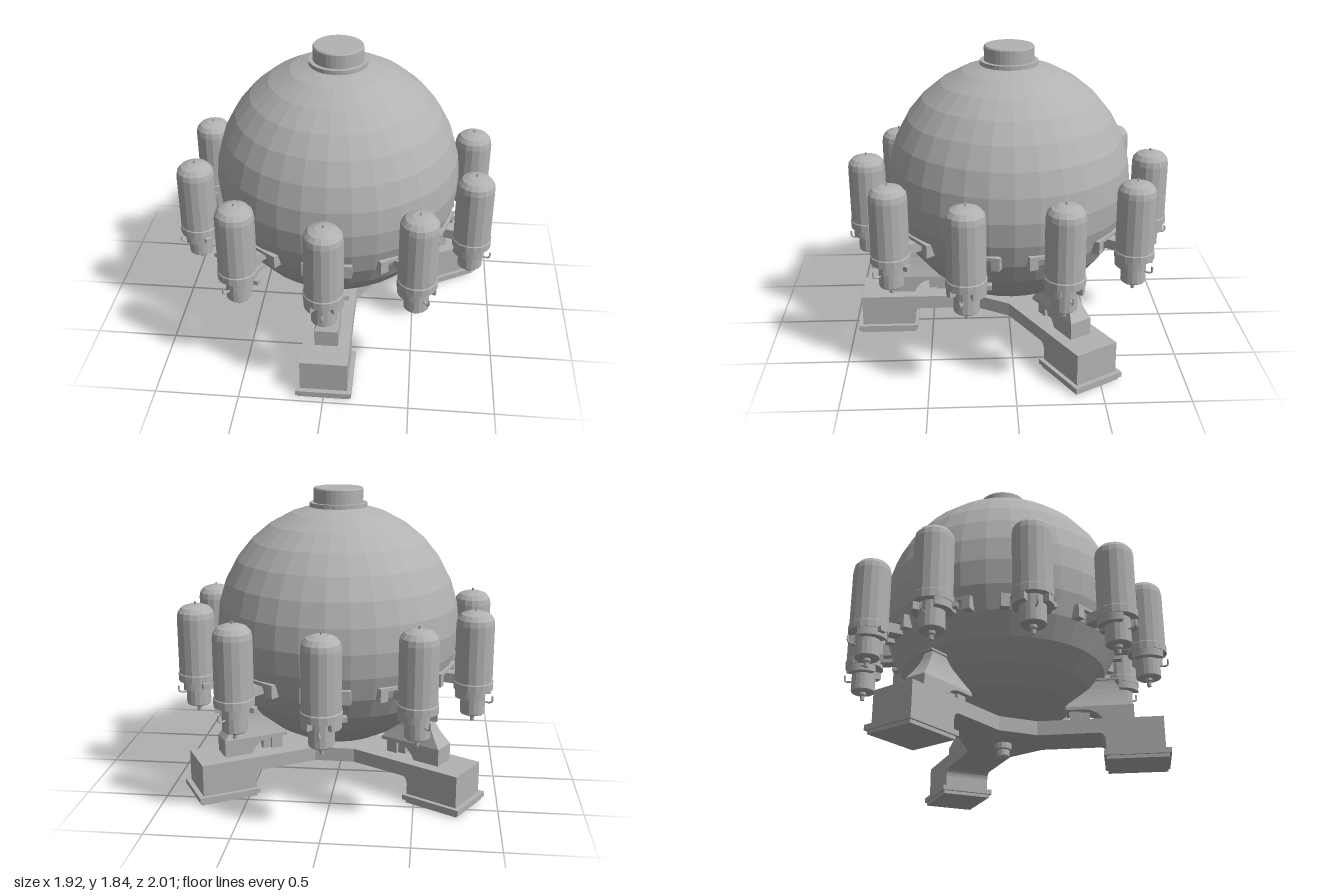
import * as THREE from 'three';

const steel = new THREE.MeshStandardMaterial({ color: 0xb2b2b2 });
steel.name = 'grey steel';

// Faceted mesh: every face gets its own normal
function add(parent, name, geometry) {
  const g = geometry.index ? geometry.toNonIndexed() : geometry;
  g.computeVertexNormals();
  const mesh = new THREE.Mesh(g, steel);
  mesh.name = name;
  parent.add(mesh);
  return mesh;
}

function box(parent, name, w, y0, y1, z0, z1, x = 0) {
  const g = new THREE.BoxGeometry(w, y1 - y0, z1 - z0);
  return add(parent, name, g.translate(x, (y0 + y1) / 2, (z0 + z1) / 2));
}

function lathe(parent, name, points, sides) {
  return add(parent, name, new THREE.LatheGeometry(points.map(p => new THREE.Vector2(...p)), sides));
}

// Side profile in (z, y), extruded across x
function slab(parent, name, shape, width) {
  const g = new THREE.ExtrudeGeometry(shape, { depth: width, bevelEnabled: false, curveSegments: 6 });
  return add(parent, name, g.translate(0, 0, -width / 2).rotateY(-Math.PI / 2));
}

// Rectangular cross-sections [y, inner z, outer z, half width] joined upwards
function loft(parent, name, sections) {
  const pos = [], index = [], last = (sections.length - 1) * 4;
  for (const [y, z0, z1, h] of sections) pos.push(h, y, z1, h, y, z0, -h, y, z0, -h, y, z1);
  for (let s = 0; s < last; s += 4) {
    for (let i = 0; i < 4; i++) {
      const a = s + i, b = s + (i + 1) % 4;
      index.push(a, b, b + 4, a, b + 4, a + 4);
    }
  }
  index.push(0, 2, 1, 0, 3, 2, last, last + 1, last + 2, last, last + 2, last + 3);
  const g = new THREE.BufferGeometry();
  g.setAttribute('position', new THREE.Float32BufferAttribute(pos, 3));
  g.setIndex(index);
  return add(parent, name, g);
}

// Three-armed base plate with chamfered inner corners
function buildBaseArms(parent) {
  const shape = new THREE.Shape();
  for (let k = 0; k < 3; k++) {
    const a = k * Math.PI * 2 / 3, c = Math.cos(a), s = Math.sin(a);
    [[-0.14, 0.22], [-0.14, 0.65], [0.14, 0.65], [0.14, 0.22]].forEach(([x, z], i) => {
      const px = x * c + z * s, pz = -x * s + z * c;
      if (k + i === 0) shape.moveTo(px, pz); else shape.lineTo(px, pz);
    });
  }
  const g = new THREE.ExtrudeGeometry(shape, { depth: 0.085, bevelEnabled: false });
  add(parent, 'baseArms', g.rotateX(Math.PI / 2).translate(0, 0.245, 0));
}

function buildLeg() {
  const leg = new THREE.Group();
  // Foot block with a fillet under the arm
  const foot = new THREE.Shape();
  foot.moveTo(0.944, 0.05);
  foot.lineTo(0.944, 0.245);
  foot.lineTo(0.57, 0.245);
  foot.lineTo(0.57, 0.16);
  foot.quadraticCurveTo(0.605, 0.16, 0.61, 0.115);
  foot.lineTo(0.61, 0.05);
  slab(leg, 'footBlock', foot, 0.28);
  box(leg, 'footPlate', 0.33, 0.02, 0.05, 0.595, 0.973);
  box(leg, 'footPad', 0.305, 0, 0.02, 0.61, 0.96);
  // Arched saddle base
  const arch = new THREE.Shape();
  arch.moveTo(0.78, 0.245);
  arch.lineTo(0.78, 0.35);
  arch.lineTo(0.38, 0.35);
  arch.lineTo(0.38, 0.33);
  arch.lineTo(0.5, 0.33);
  arch.quadraticCurveTo(0.58, 0.32, 0.61, 0.245);
  slab(leg, 'saddleBase', arch, 0.14);
  // Flared saddle reaching up to the sphere
  loft(leg, 'saddle', [
    [0.35, 0.38, 0.78, 0.07], [0.39, 0.41, 0.748, 0.056], [0.43, 0.44, 0.72, 0.044],
    [0.47, 0.47, 0.697, 0.035], [0.51, 0.5, 0.682, 0.03], [0.53, 0.52, 0.675, 0.03],
  ]);
  box(leg, 'saddleCap', 0.08, 0.522, 0.534, 0.54, 0.7);
  box(leg, 'innerPost', 0.08, 0.245, 0.34, 0.4, 0.47);
  box(leg, 'innerPostRib', 0.04, 0.245, 0.34, 0.47, 0.52);
  return leg;
}

function buildTank() {
  const tank = new THREE.Group();
  const body = new THREE.Group();
  body.position.z = 0.88;
  tank.add(body);
  lathe(body, 'tankShell', [[0, 0.685], [0.118, 0.685], [0.118, 0.73], [0.113, 0.735], [0.113, 1.08],
    [0.107, 1.113], [0.085, 1.14], [0.045, 1.155], [0, 1.159]], 16);
  lathe(body, 'topPin', [[0.006, 1.15], [0.006, 1.175], [0, 1.175]], 6);
  lathe(body, 'lowerNeck', [[0, 0.53], [0.068, 0.53], [0.074, 0.536], [0.074, 0.69]], 16);
  lathe(body, 'drainNozzle', [[0, 0.48], [0.012, 0.48], [0.014, 0.505], [0.022, 0.515], [0.022, 0.535]], 8);
  // Two half collars beneath the shell
  for (const side of [0, Math.PI]) {
    const ring = new THREE.Shape();
    ring.absarc(0, 0, 0.113, side - 0.95, side + 0.95, false);
    ring.absarc(0, 0, 0.07, side + 0.95, side - 0.95, true);
    const g = new THREE.ExtrudeGeometry(ring, { depth: 0.05, bevelEnabled: false, curveSegments: 6 });
    add(body, 'halfCollar', g.rotateX(Math.PI / 2).translate(0, 0.69, 0));
  }
  // Hooked pipe on the outer side
  const path = new THREE.CatmullRomCurve3([[0, 0.61, 0.06], [0, 0.608, 0.105], [0, 0.616, 0.119], [0, 0.65, 0.12]]
    .map(p => new THREE.Vector3(...p)));
  add(body, 'hookPipe', new THREE.TubeGeometry(path, 8, 0.006, 6));
  // Side clip, turned slightly towards the sphere
  const clip = box(body, 'sideClip', 0.05, 0.66, 0.69, -0.02, 0.02, 0.115);
  clip.rotation.y = 0.3;
  // Mounting bracket: two cheeks joined by a bar and a strut
  for (const side of [-1, 1]) box(tank, 'bracketCheek', 0.05, 0.71, 0.79, 0.64, 0.725, side * 0.12);
  box(tank, 'bracketBar', 0.28, 0.77, 0.79, 0.64, 0.725);
  box(tank, 'bracketStrut', 0.08, 0.71, 0.77, 0.66, 0.8);
  return tank;
}

export function createModel() {
  const model = new THREE.Group();
  model.name = 'sphericalTankAssembly';

  add(model, 'sphere', new THREE.SphereGeometry(0.745, 32, 16).translate(0, 1, 0));
  lathe(model, 'topFlange', [[0.175, 1.72], [0.175, 1.747], [0, 1.747]], 32);
  lathe(model, 'topCap', [[0.15, 1.74], [0.15, 1.828], [0.144, 1.836], [0, 1.836]], 32);

  buildBaseArms(model);
  lathe(model, 'bottomDrain', [[0, 0.075], [0.03, 0.075], [0.038, 0.085], [0.038, 0.12], [0.05, 0.125],
    [0.05, 0.165]], 12);

  for (let i = 0; i < 3; i++) {
    const leg = buildLeg();
    leg.name = 'leg' + (i + 1);
    leg.rotation.y = i * Math.PI * 2 / 3;
    model.add(leg);
  }
  for (let i = 0; i < 10; i++) {
    const tank = buildTank();
    tank.name = 'tank' + (i + 1);
    tank.rotation.y = i * Math.PI / 5;
    model.add(tank);
  }
  return model;
}
